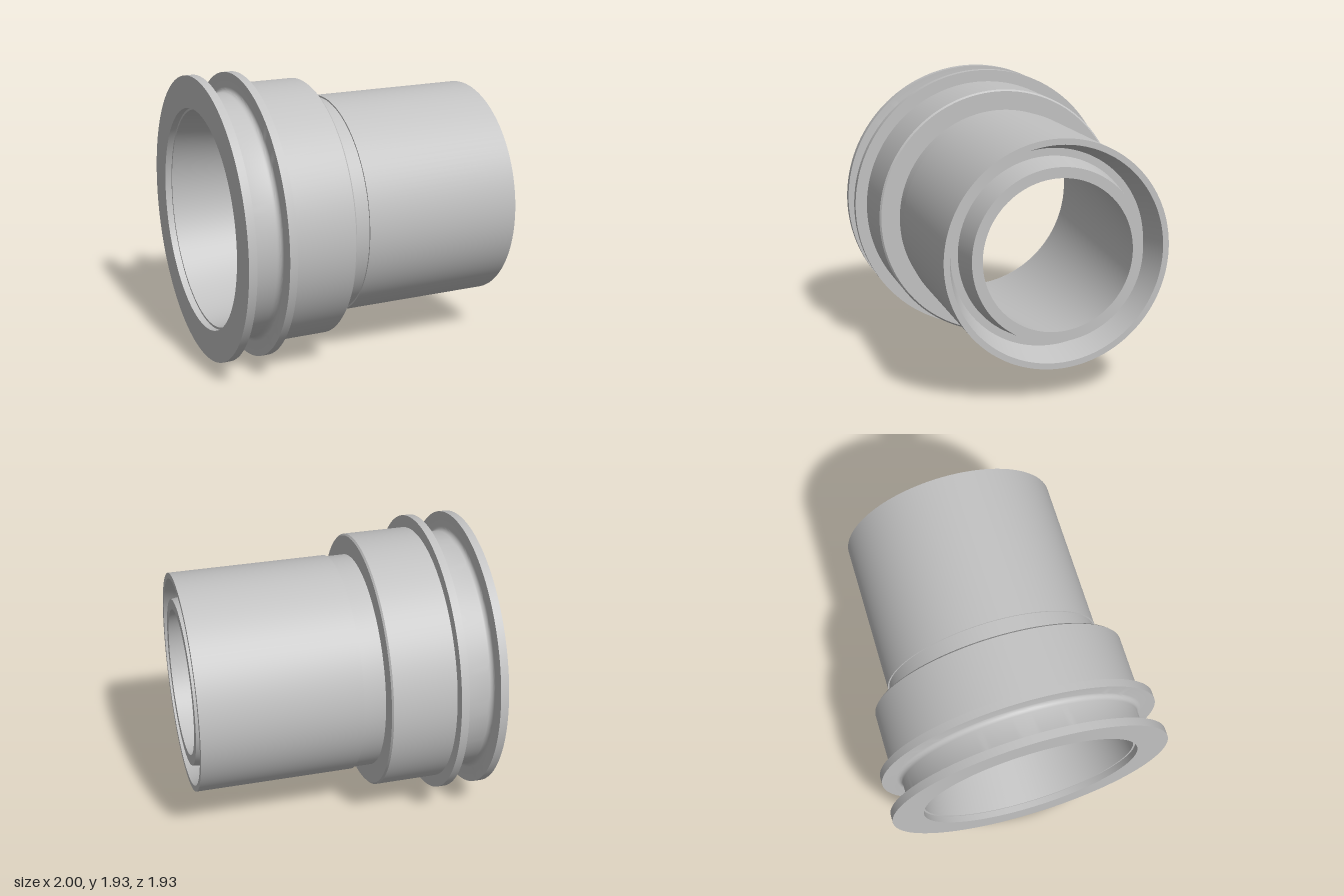
import * as THREE from 'three';
import { toCreasedNormals } from 'three/addons/utils/BufferGeometryUtils.js';

const AXIS_Y = 0.965;

// Quarter-round points [x, r] about a centre, from angle a to b in degrees
function arc(cx, cr, radius, a, b, steps = 6) {
  return Array.from({ length: steps + 1 }, (_, i) => {
    const t = THREE.MathUtils.degToRad(a + ((b - a) * i) / steps);
    return [cx + radius * Math.cos(t), cr + radius * Math.sin(t)];
  });
}

export function createModel() {
  const group = new THREE.Group();
  group.name = 'pipeFitting';
  const metal = new THREE.MeshStandardMaterial({ color: 0xc2c2c2 });
  metal.name = 'light grey metal';

  // Revolve an [x, r] profile about the horizontal axis
  function turned(name, profile) {
    const points = profile.map(([x, r]) => new THREE.Vector2(r, x));
    const geometry = new THREE.LatheGeometry(points, 128);
    geometry.rotateZ(-Math.PI / 2);
    const mesh = new THREE.Mesh(toCreasedNormals(geometry, 0.45), metal);
    mesh.name = name;
    mesh.position.y = AXIS_Y;
    group.add(mesh);
  }

  // Two flanges with a filleted groove between them
  turned('flangeGroove', [
    [-1, 0.75], [-1, 0.965], [-0.945, 0.965],
    ...arc(-0.91, 0.865, 0.035, 180, 270),
    ...arc(-0.765, 0.865, 0.035, 270, 360),
    [-0.73, 0.965], [-0.677, 0.965], [-0.677, 0.882],
  ]);

  // Collar with a small chamfer and rear shoulder
  turned('collar', [[-0.677, 0.882], [-0.245, 0.882], [-0.234, 0.871], [-0.234, 0.74]]);

  // Slightly narrower neck, then the long sleeve and its thin rim
  turned('neckAndSleeve', [[-0.234, 0.74], [-0.085, 0.74], [-0.085, 0.75], [1, 0.75], [1, 0.71]]);

  // Tapered ring recess in the end, around the inner tube
  turned('endRecess', [[1, 0.71], [0.8, 0.655], [0.8, 0.605], [1, 0.57]]);

  // Inner tube rim and the bore widening toward the flange
  turned('innerTubeAndBore', [[1, 0.57], [1, 0.5], [-0.955, 0.735], [-0.955, 0.75], [-1, 0.75]]);

  return group;
}
